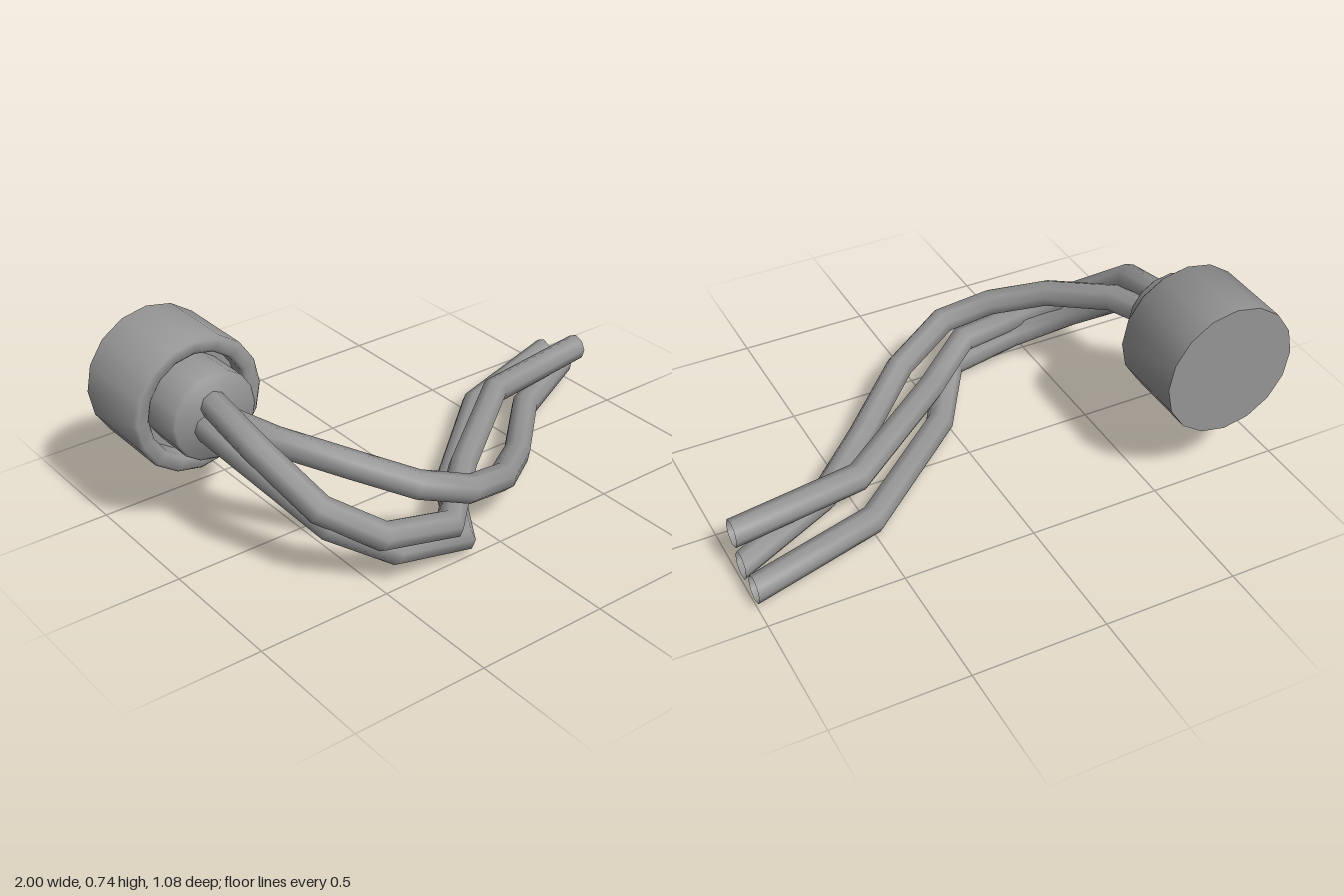
import * as THREE from 'three';
import { toCreasedNormals } from 'three/addons/utils/BufferGeometryUtils.js';

const GREY = 0x959595;
const material = new THREE.MeshStandardMaterial({ color: GREY });
const openMaterial = new THREE.MeshStandardMaterial({ color: GREY, side: THREE.DoubleSide });
const SIDES = 8;

// Eight-sided open tube that bends sharply, with full-width mitred joints, at each given point
function cable(name, coords) {
  const pts = coords.map(c => new THREE.Vector3(...c));
  const n = pts.length - 1;
  const heading = i => pts[i + 1].clone().sub(pts[i]).normalize();
  const curve = new THREE.Curve();
  curve.getPoint = curve.getPointAt = t => pts[Math.round(t * n)].clone();
  curve.getTangent = curve.getTangentAt = t => {
    const i = Math.round(t * n);
    if (i === 0) return new THREE.Vector3(0, 0, 1); // leaves the neck squarely
    if (i === n) return new THREE.Vector3(1, 0, 0); // cut square to x
    return heading(i - 1).add(heading(i)).normalize();
  };
  const geometry = new THREE.TubeGeometry(curve, n, 0.051, SIDES, false);

  // Widen each joint ring along its bend so the tube keeps its thickness
  const position = geometry.attributes.position;
  const v = new THREE.Vector3();
  for (let i = 1; i < n; i++) {
    const before = heading(i - 1), after = heading(i);
    const stretch = 1 / Math.cos(before.angleTo(after) / 2) - 1;
    const bend = after.sub(before).normalize();
    for (let j = 0; j <= SIDES; j++) {
      const k = i * (SIDES + 1) + j;
      v.fromBufferAttribute(position, k);
      const reach = v.clone().sub(pts[i]).dot(bend);
      v.addScaledVector(bend, reach * stretch);
      position.setXYZ(k, v.x, v.y, v.z);
    }
  }
  const mesh = new THREE.Mesh(geometry, openMaterial);
  mesh.name = name;
  return mesh;
}

export function createModel() {
  const group = new THREE.Group();
  group.name = 'connectorWithCables';

  // Plug: wide cup, ring groove, and narrower neck, as [radius, z]
  const profile = [
    [0, -0.543], [0.254, -0.543], [0.254, -0.235], [0.242, -0.222],
    [0.203, -0.222], [0.192, -0.235], [0.192, -0.3], [0.166, -0.3],
    [0.166, -0.132], [0.157, -0.122], [0, -0.122],
  ].map(([r, z]) => new THREE.Vector2(r, z));
  const plugGeometry = new THREE.LatheGeometry(profile, 16).rotateX(Math.PI / 2);
  const plug = new THREE.Mesh(toCreasedNormals(plugGeometry, 0.95), material);
  plug.name = 'plug';
  plug.position.set(-0.746, 0.491, 0);
  group.add(plug);

  // Three cables from the neck to the loose ends
  group.add(
    cable('upperCable', [
      [-0.75, 0.54, -0.13], [-0.748, 0.48, 0.14], [-0.648, 0.315, 0.34], [-0.48, 0.205, 0.46],
      [-0.21, 0.15, 0.475], [0.05, 0.166, 0.23], [0.5, 0.168, -0.12], [1, 0.168, -0.195],
    ]),
    cable('lowerCable', [
      [-0.78, 0.46, -0.13], [-0.742, 0.405, 0.13], [-0.61, 0.235, 0.34], [-0.42, 0.122, 0.455],
      [-0.15, 0.065, 0.46], [0.05, 0.055, 0.15], [0.5, 0.06, -0.235], [1, 0.072, -0.385],
    ]),
    cable('slantingCable', [
      [-0.715, 0.47, -0.13], [-0.645, 0.455, 0.08], [-0.48, 0.4, 0.29], [-0.31, 0.325, 0.43],
      [-0.13, 0.264, 0.482], [0.1, 0.178, 0.39], [0.35, 0.088, 0.185], [0.62, 0.082, -0.075],
      [1, 0.08, -0.265],
    ]),
  );
  return group;
}
